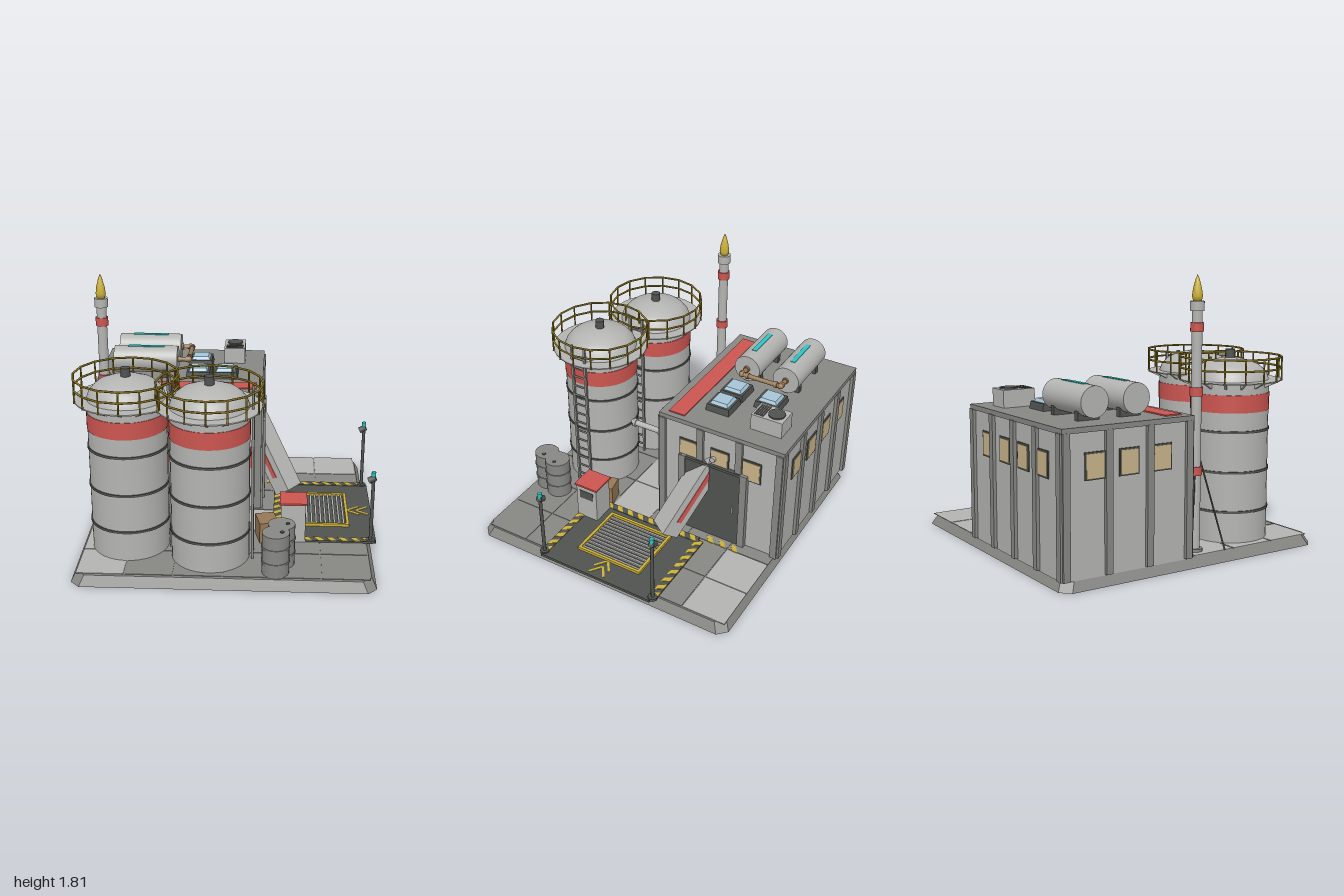
import * as THREE from 'three';

const mat = (name, color) => new THREE.MeshStandardMaterial({ name, color });
const M = {
  light: mat('light grey', 0xb4b4b2), mid: mat('mid grey', 0x878884), dark: mat('dark grey', 0x50534f),
  red: mat('red', 0xcc5550), yellow: mat('yellow', 0xccb038), rail: mat('ochre', 0x8c7620),
  brown: mat('brown', 0x967855), glass: mat('sky glass', 0xa6c6d8), tan: mat('window tan', 0xc9b48a),
  cyan: mat('cyan', 0x2fc4c4),
};
const V = (x, y, z) => new THREE.Vector3(x, y, z);

function add(parent, name, geo, m, x = 0, y = 0, z = 0) {
  const mesh = new THREE.Mesh(geo, m);
  mesh.name = name;
  mesh.position.set(x, y, z);
  parent.add(mesh);
  return mesh;
}
function group(parent, name, x = 0, y = 0, z = 0, ry = 0) {
  const g = new THREE.Group();
  g.name = name;
  g.position.set(x, y, z);
  g.rotation.y = ry;
  parent.add(g);
  return g;
}
// box given by its extents
const box = (p, name, m, x0, x1, y0, y1, z0, z1) =>
  add(p, name, new THREE.BoxGeometry(x1 - x0, y1 - y0, z1 - z0), m, (x0 + x1) / 2, (y0 + y1) / 2, (z0 + z1) / 2);
// upright cylinder from y0 to y1
const cyl = (p, name, m, r, y0, y1, x = 0, z = 0, seg = 32, rTop = r) =>
  add(p, name, new THREE.CylinderGeometry(rTop, r, y1 - y0, seg), m, x, (y0 + y1) / 2, z);
// round bar between two points
function rod(p, name, m, a, b, r, seg = 10) {
  const d = b.clone().sub(a);
  const mesh = add(p, name, new THREE.CylinderGeometry(r, r, d.length(), seg), m);
  mesh.position.copy(a).addScaledVector(d, 0.5);
  mesh.quaternion.setFromUnitVectors(V(0, 1, 0), d.normalize());
  return mesh;
}
// pipe run with ball elbows and a flange at each end
function pipeRun(p, name, m, pts, r) {
  const g = group(p, name);
  pts.forEach((a, i) => {
    if (i) rod(g, 'pipe', m, pts[i - 1], a, r, 14);
    if (i && i < pts.length - 1) add(g, 'elbow', new THREE.SphereGeometry(r * 1.35, 14, 10), m, a.x, a.y, a.z);
  });
  for (let i = 1; i < pts.length; i++) for (const t of [0.12, 0.85]) {
    const d = pts[i].clone().sub(pts[i - 1]), c = pts[i - 1].clone().addScaledVector(d, t);
    d.setLength(0.01);
    rod(g, 'flange', m, c.clone().sub(d), c.clone().add(d), r * 1.4, 14);
  }
}

function buildBase(root) {
  const g = group(root, 'base'), h = 0.98, c = 0.06;
  const pts = [[-h + c, -h], [h - c, -h], [h, -h + c], [h, h - c], [h - c, h], [-h + c, h], [-h, h - c], [-h, -h + c]];
  const geo = new THREE.ExtrudeGeometry(new THREE.Shape(pts.map(q => new THREE.Vector2(...q))), { depth: 0.067, bevelEnabled: false });
  const P = geo.attributes.position;
  for (let i = 0; i < P.count; i++) if (P.getZ(i) > 0.03) P.setXY(i, P.getX(i) * 0.965, P.getY(i) * 0.965);
  geo.rotateX(-Math.PI / 2);
  geo.computeVertexNormals();
  add(g, 'foundation', geo, M.mid, -0.01);
  // paving grid
  const s = 0.315;
  for (let i = 0; i < 6; i++) for (let j = 0; j < 6; j++) {
    const pale = (j === 0 && i > 3) || i === 0 || (j === 3 && i < 4);
    const x = -0.955 + i * s, z = -0.955 + j * s;
    box(g, 'pavingTile', pale ? M.light : M.mid, x, x + s - 0.01, 0.066, 0.071, z, z + s - 0.01);
  }
}

// striped warning strip; slanted stripes are sheared boxes
function hazard(p, x, z, len, ry, backed = true) {
  const g = group(p, 'hazardStrip', x, 0.082, z, ry), n = Math.round(len / 0.085);
  if (backed) box(g, 'stripBacking', M.dark, -len / 2, len / 2, -0.015, 0.002, -0.026, 0.026);
  for (let i = 0; i < n; i++) {
    const geo = new THREE.BoxGeometry(0.04, 0.006, 0.052), P = geo.attributes.position;
    for (let k = 0; k < P.count; k++) P.setX(k, P.getX(k) + P.getZ(k) * 0.7);
    add(g, 'yellowStripe', geo, M.yellow, -len / 2 + (i + 0.5) * len / n, backed ? 0.001 : -0.01);
  }
}

function buildPad(root) {
  const g = group(root, 'loadingPad');
  box(g, 'padPlate', M.dark, 0.33, 1.0, 0.06, 0.08, -0.44, 0.43);
  hazard(g, 0.655, -0.445, 0.65, 0);
  hazard(g, 0.655, 0.425, 0.65, 0);
  hazard(g, 0.33, 0, 0.86, Math.PI / 2);
  hazard(g, 0.275, -0.59, 0.28, Math.PI / 2, false);
  // grate
  for (const z of [-0.248, 0.228]) box(g, 'grateFrame', M.yellow, 0.405, 0.83, 0.075, 0.1, z - 0.01, z + 0.01);
  for (const x of [0.414, 0.821]) box(g, 'grateFrame', M.yellow, x - 0.01, x + 0.01, 0.075, 0.1, -0.255, 0.235);
  for (let i = 0; i < 12; i++) box(g, 'grateBar', M.light, 0.438 + i * 0.0318, 0.452 + i * 0.0318, 0.078, 0.092, -0.24, 0.22);
  // floor arrows
  for (const x of [0.83, 0.895]) for (const s of [-1, 1]) {
    const b = box(g, 'chevronArm', M.yellow, x - 0.01, x + 0.09, 0.078, 0.084, s * 0.03 - 0.017, s * 0.03 - 0.001);
    b.rotation.y = -s * 0.62;
  }
  // lamp posts
  for (const z of [-0.445, 0.425]) {
    cyl(g, 'lampFoot', M.dark, 0.032, 0.07, 0.09, 0.962, z, 12);
    cyl(g, 'lampPost', M.dark, 0.012, 0.08, 0.54, 0.962, z, 10);
    rod(g, 'lampHead', M.dark, V(0.93, 0.525, z), V(0.975, 0.55, z), 0.022);
    cyl(g, 'lampLight', M.cyan, 0.015, 0.55, 0.59, 0.962, z, 10);
  }
}

function wall(p, name, x, z, ry, width, pilasters, windows) {
  const g = group(p, name, x, 0, z, ry);
  for (let i = 0; i < pilasters; i++) {
    const px = -width / 2 + 0.015 + i * (width - 0.03) / (pilasters - 1);
    box(g, 'pilaster', M.mid, px - 0.024, px + 0.024, 0.067, 0.935, -0.01, 0.022);
  }
  for (let i = 0; i < windows; i++) {
    const wx = (i - (windows - 1) / 2) * 0.238;
    box(g, 'windowFrame', M.dark, wx - 0.07, wx + 0.07, 0.645, 0.81, -0.01, 0.008);
    box(g, 'windowPane', M.tan, wx - 0.061, wx + 0.061, 0.655, 0.80, 0.004, 0.012);
  }
  return g;
}

function buildBuilding(root) {
  const g = group(root, 'building');
  box(g, 'walls', M.light, -0.96, 0.2, 0.06, 0.94, -0.965, -0.06);
  box(g, 'roof', M.mid, -0.98, 0.212, 0.93, 0.963, -0.98, -0.045);
  const front = wall(g, 'frontWall', -0.38, -0.06, 0, 1.16, 5, 4);
  box(front, 'redWallBand', M.red, -0.54, 0.55, 0.38, 0.54, -0.002, 0.007);
  wall(g, 'backWall', -0.38, -0.965, Math.PI, 1.16, 5, 4);
  wall(g, 'leftWall', -0.96, -0.512, -Math.PI / 2, 0.905, 4, 3);
  wall(g, 'rightWall', 0.2, -0.512, Math.PI / 2, 0.905, 4, 3);
  // loading door
  box(g, 'door', M.dark, 0.19, 0.224, 0.067, 0.67, -0.7, -0.23);
  for (const z of [-0.235, -0.705]) box(g, 'doorPost', M.mid, 0.19, 0.235, 0.067, 0.685, z - 0.025, z + 0.025);
  box(g, 'doorLintel', M.dark, 0.19, 0.232, 0.665, 0.685, -0.73, -0.21);
  box(g, 'doorHandle', M.light, 0.22, 0.235, 0.335, 0.39, -0.635, -0.625);
  rod(g, 'doorLamp', M.light, V(0.19, 0.73, -0.47), V(0.232, 0.73, -0.47), 0.02, 14);
  box(g, 'redRoofBand', M.red, -0.92, 0.17, 0.962, 0.971, -0.22, -0.1);
  // roof tanks
  for (const z of [-0.685, -0.39]) {
    const t = group(g, 'roofTank', -0.632, 1.08, z);
    rod(t, 'shell', M.light, V(-0.228, 0, 0), V(0.228, 0, 0), 0.096, 32);
    box(t, 'cyanStripe', M.cyan, -0.13, 0.13, 0.09, 0.099, -0.016, 0.016);
    for (const x of [-0.14, 0.14]) box(t, 'saddle', M.dark, x - 0.02, x + 0.02, -0.12, -0.05, -0.075, 0.075);
  }
  pipeRun(g, 'roofPipes', M.brown, [V(-0.41, 1.08, -0.685), V(-0.325, 1.08, -0.685), V(-0.325, 1.08, -0.39), V(-0.41, 1.08, -0.39)], 0.016);
  // skylights: four-sided frusta
  for (const [x, z] of [[-0.255, -0.655], [-0.255, -0.39], [-0.06, -0.39]]) {
    const s = group(g, 'skylight', x, 0, z);
    const part = (n, m, a, b, y0, y1) => {
      const geo = new THREE.CylinderGeometry(b * Math.SQRT1_2, a * Math.SQRT1_2, y1 - y0, 4).rotateY(Math.PI / 4).toNonIndexed();
      geo.computeVertexNormals();
      add(s, n, geo, m, 0, (y0 + y1) / 2);
    };
    part('skylightFrame', M.dark, 0.18, 0.165, 0.96, 1.01);
    part('skylightGlass', M.glass, 0.14, 0.11, 1.005, 1.032);
  }
  // cooling unit
  box(g, 'coolingUnit', M.light, -0.085, 0.07, 0.96, 1.078, -0.885, -0.66);
  cyl(g, 'fan', M.dark, 0.057, 1.07, 1.088, -0.008, -0.81, 20);
  for (let i = 0; i < 5; i++) box(g, 'ventSlat', M.dark, -0.07, 0.055, 1.074, 1.083, -0.742 + i * 0.015, -0.733 + i * 0.015);
}

function buildChute(root) {
  const g = group(root, 'chute'), ang = 0.99, c = Math.cos(ang), s = Math.sin(ang);
  const a = V(-0.814 * c, s, -0.581 * c), w = V(0.581, 0, -0.814), n = V(0.814 * s, c, 0.581 * s);
  g.quaternion.setFromRotationMatrix(new THREE.Matrix4().makeBasis(w, a, n));
  g.position.set(0.455, 0.18, -0.18);
  box(g, 'chuteBody', M.light, -0.08, 0.08, 0, 0.68, -0.13, 0);
  for (const x of [-0.08, 0.08]) box(g, 'chuteStripe', M.red, x - 0.004, x + 0.004, 0.12, 0.58, -0.085, -0.05);
}

function buildSilo(root, x, z) {
  const g = group(root, 'silo', x, 0, z), N = 16;
  cyl(g, 'shell', M.light, 0.257, 0.06, 1.122, 0, 0, 40);
  const prof = [[0.257, 1.12], [0.243, 1.16], [0.215, 1.195], [0.185, 1.22], [0.12, 1.245], [0.06, 1.26], [0, 1.263]];
  add(g, 'dome', new THREE.LatheGeometry(prof.map(q => new THREE.Vector2(...q)), 40), M.light);
  cyl(g, 'cap', M.dark, 0.031, 1.25, 1.318, 0, 0, 16);
  cyl(g, 'redBand', M.red, 0.261, 0.925, 1.04, 0, 0, 40);
  for (const y of [0.8, 0.535, 0.275]) cyl(g, 'hoop', M.dark, 0.264, y - 0.008, y + 0.008, 0, 0, 40);
  // walkway with brackets and railing
  const ring = new THREE.Shape().absarc(0, 0, 0.335, 0, Math.PI * 2);
  ring.holes.push(new THREE.Path().absarc(0, 0, 0.25, 0, Math.PI * 2, true));
  const deck = new THREE.ExtrudeGeometry(ring, { depth: 0.008, bevelEnabled: false, curveSegments: N }).rotateX(-Math.PI / 2);
  add(g, 'walkway', deck, M.light, 0, 1.115);
  const tri = new THREE.Shape([new THREE.Vector2(0.25, 1.118), new THREE.Vector2(0.25, 1.075), new THREE.Vector2(0.345, 1.118)]);
  for (let i = 0; i < N; i++) {
    const t = i / N * Math.PI * 2, b = group(g, 'walkwayBay', 0, 0, 0, t);
    add(b, 'bracket', new THREE.ExtrudeGeometry(tri, { depth: 0.014, bevelEnabled: false }), M.light, 0, 0, -0.007);
    rod(b, 'railPost', M.rail, V(0.338, 1.115, 0), V(0.338, 1.275, 0), 0.006, 6);
  }
  for (const y of [1.2, 1.272])
    add(g, 'handrail', new THREE.TorusGeometry(0.338, 0.007, 6, N).rotateX(Math.PI / 2), M.rail, 0, y);
  // ladder
  for (const s of [-0.052, 0.052]) box(g, 'ladderRail', M.mid, 0.268, 0.284, 0.07, 1.24, s - 0.008, s + 0.008);
  for (let y = 0.13; y < 1.22; y += 0.078) rod(g, 'ladderRung', M.mid, V(0.276, y, -0.05), V(0.276, y, 0.05), 0.007, 6);
}

function buildFlareStack(root) {
  const g = group(root, 'flareStack', -0.865, 0, 0.055);
  cyl(g, 'foot', M.mid, 0.05, 0.06, 0.09, 0, 0, 20);
  cyl(g, 'mast', M.light, 0.033, 0.067, 1.6, 0, 0, 20);
  cyl(g, 'collar', M.light, 0.045, 1.59, 1.65, 0, 0, 20);
  for (const y of [0.59, 1.09, 1.49]) cyl(g, 'redBand', M.red, 0.042, y - 0.028, y + 0.028, 0, 0, 20);
  const flame = [[0, 1.645], [0.026, 1.648], [0.034, 1.68], [0.027, 1.73], [0.012, 1.785], [0, 1.813]];
  add(g, 'flame', new THREE.LatheGeometry(flame.map(q => new THREE.Vector2(...q)), 16), M.yellow);
  for (const [x, z] of [[-0.095, 0.17], [0.19, 0], [-0.085, -0.09]]) rod(g, 'stayRod', M.dark, V(0, 0.76, 0), V(x, 0.07, z), 0.006, 6);
}

function buildYardItems(root) {
  const cab = group(root, 'cabinet');
  box(cab, 'cabinetBody', M.light, 0.355, 0.52, 0.067, 0.348, 0.288, 0.452);
  box(cab, 'cabinetLid', M.red, 0.345, 0.53, 0.346, 0.36, 0.278, 0.462);
  box(cab, 'cabinetVent', M.dark, 0.515, 0.523, 0.245, 0.31, 0.315, 0.425);
  const crate = group(root, 'crate', 0.26, 0, 0.39, 0.22);
  box(crate, 'crateBody', M.brown, -0.065, 0.065, 0.067, 0.215, -0.08, 0.08);
  for (const [x, z] of [[0.358, 0.735], [0.322, 0.852]]) {
    const b = group(root, 'barrel', x, 0, z);
    cyl(b, 'drum', M.mid, 0.088, 0.067, 0.355, 0, 0, 24);
    for (const y of [0.16, 0.26]) cyl(b, 'rib', M.mid, 0.093, y - 0.007, y + 0.007, 0, 0, 24);
    cyl(b, 'bung', M.dark, 0.013, 0.35, 0.362, 0.04, 0, 8);
  }
}

export function createModel() {
  const root = new THREE.Group();
  root.name = 'industrialPlant';
  buildBase(root);
  buildPad(root);
  buildBuilding(root);
  buildChute(root);
  buildSilo(root, -0.65, 0.5);
  buildSilo(root, -0.107, 0.632);
  pipeRun(root, 'leftSiloPipe', M.light, [V(-0.65, 0.4, 0.25), V(-0.65, 0.4, -0.01), V(-0.65, 0.255, -0.01), V(-0.65, 0.255, -0.07)], 0.025);
  pipeRun(root, 'rightSiloPipe', M.light, [V(-0.107, 0.535, 0.385), V(-0.107, 0.535, 0.095), V(-0.107, 0.73, 0.095), V(-0.107, 0.73, -0.07)], 0.022);
  buildFlareStack(root);
  buildYardItems(root);
  return root;
}
